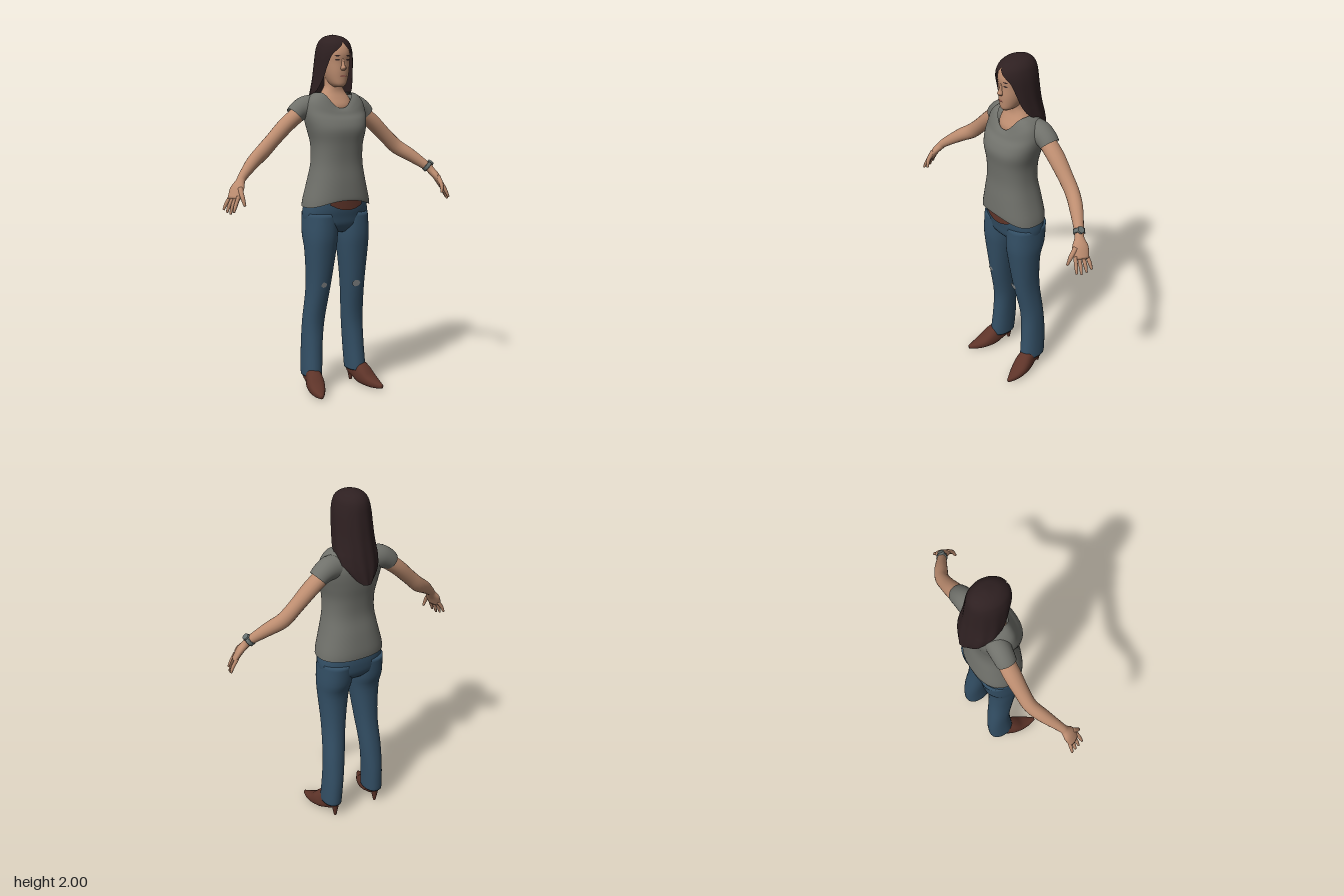
import * as THREE from 'three';

const mat = (name, color, side = THREE.FrontSide) => {
  const m = new THREE.MeshStandardMaterial({ color, side });
  m.name = name;
  return m;
};

// smooth interpolation of cross-section rows
function spline(secs, k = 4) {
  const out = [];
  for (let i = 0; i < secs.length - 1; i++) {
    const a = secs[Math.max(0, i - 1)], b = secs[i], c = secs[i + 1], d = secs[Math.min(secs.length - 1, i + 2)];
    for (let j = 0; j < k; j++) {
      const t = j / k;
      out.push(b.map((p, q) => {
        const m0 = (c[q] - a[q]) / 2, m1 = (d[q] - p) / 2;
        return (2 * t ** 3 - 3 * t * t + 1) * p + (t ** 3 - 2 * t * t + t) * m0
          + (3 * t * t - 2 * t ** 3) * c[q] + (t ** 3 - t * t) * m1;
      }));
    }
  }
  out.push(secs[secs.length - 1]);
  return out;
}

// surface from rows of points
function grid(name, rows, material, wrap = true) {
  const n = rows[0].length, index = [];
  for (let r = 0; r < rows.length - 1; r++) {
    for (let c = 0; c < (wrap ? n : n - 1); c++) {
      const a = r * n + c, b = r * n + (c + 1) % n, d = a + n, e = b + n;
      index.push(a, d, b, b, d, e);
    }
  }
  const g = new THREE.BufferGeometry().setFromPoints(rows.flat());
  g.setIndex(index);
  g.computeVertexNormals();
  const mesh = new THREE.Mesh(g, material);
  mesh.name = name;
  return mesh;
}

const pow = (v, e) => Math.sign(v) * Math.abs(v) ** e;

function capEnds(rows) {
  const mid = (r) => {
    const c = r.reduce((s, p) => s.add(p), new THREE.Vector3()).divideScalar(r.length);
    return r.map(() => c.clone());
  };
  return [mid(rows[0]), ...rows, mid(rows[rows.length - 1])];
}

// upright body: sections [y, centre x, half width, front z, back z, front lift]
function body(name, secs, material, { e = 0.9, n = 36, cap = true } = {}) {
  const rows = spline(secs).map(([y, cx, hw, zf, zb, lift = 0]) => Array.from({ length: n }, (_, i) => {
    const t = (i / n) * Math.PI * 2, s = Math.sin(t);
    return new THREE.Vector3(cx + hw * pow(Math.cos(t), e), y + lift * Math.max(0, s) ** 3,
      (zf + zb) / 2 + ((zf - zb) / 2) * pow(s, e));
  }));
  return grid(name, cap ? capEnds(rows) : rows, material);
}

// limb along a path: sections [x, y, z, horizontal radius, other radius]
function limb(name, secs, material, { e = 1, n = 18, cap = true } = {}) {
  const list = spline(secs), up = new THREE.Vector3(0, 1, 0);
  const at = (i) => new THREE.Vector3(...list[Math.min(list.length - 1, Math.max(0, i))].slice(0, 3));
  const rows = list.map(([, , , ru, rv], k) => {
    const T = at(k + 1).sub(at(k - 1)).normalize();
    const u = up.clone().cross(T).normalize(), v = u.clone().cross(T);
    return Array.from({ length: n }, (_, i) => {
      const t = (i / n) * Math.PI * 2;
      return at(k).addScaledVector(u, ru * pow(Math.cos(t), e)).addScaledVector(v, rv * pow(Math.sin(t), e));
    });
  });
  return grid(name, cap ? capEnds(rows) : rows, material);
}

export function createModel() {
  const model = new THREE.Group();
  model.name = 'woman';
  const skin = mat('skin', 0xbd8d70), shirt = mat('grey shirt', 0x70716b, THREE.DoubleSide);
  const denim = mat('blue denim', 0x334f65), leather = mat('brown leather', 0x5e3429, THREE.DoubleSide);
  const hairMat = mat('dark hair', 0x2e2021, THREE.DoubleSide), metal = mat('watch metal', 0x66706f);
  const worn = mat('worn denim', 0x85898a), lipMat = mat('lips', 0x9c6253), eyeMat = mat('eyes', 0x3a2b28);

  // shirt body, with raised front hem and scooped neckline
  model.add(body('shirt', [
    [1.055, 0, 0.197, 0.14, -0.14, 0.04], [1.1, 0, 0.19, 0.142, -0.14, 0.015], [1.2, 0, 0.165, 0.138, -0.127, 0],
    [1.3, 0, 0.146, 0.13, -0.11, 0], [1.4, 0, 0.146, 0.135, -0.115, 0], [1.48, 0, 0.165, 0.143, -0.128, 0],
    [1.54, 0, 0.178, 0.125, -0.135, -0.01], [1.59, 0, 0.18, 0.1, -0.135, -0.03], [1.64, 0, 0.165, 0.088, -0.125, -0.06],
    [1.675, 0, 0.13, 0.08, -0.115, -0.085], [1.685, 0, 0.095, 0.07, -0.1, -0.085],
  ], shirt, { e: 0.85, n: 48, cap: false }));

  // neck and upper chest
  model.add(body('neck', [
    [1.56, 0, 0.085, 0.06, -0.08], [1.61, 0, 0.095, 0.062, -0.09], [1.65, 0, 0.093, 0.042, -0.09],
    [1.685, 0, 0.07, 0.025, -0.085], [1.72, 0, 0.05, 0.022, -0.08], [1.78, 0, 0.048, 0.025, -0.08],
  ], skin));

  // head and nose
  model.add(body('head', [
    [1.715, 0, 0.022, 0.07, 0], [1.73, 0, 0.04, 0.08, -0.03], [1.76, 0, 0.055, 0.083, -0.06], [1.8, 0, 0.067, 0.085, -0.09],
    [1.85, 0, 0.075, 0.083, -0.11], [1.9, 0, 0.076, 0.085, -0.11], [1.95, 0, 0.064, 0.06, -0.1], [1.98, 0, 0.03, 0, -0.06],
  ], skin));
  model.add(body('nose', [
    [1.87, 0, 0.006, 0.086, 0.07], [1.835, 0, 0.009, 0.098, 0.07], [1.817, 0, 0.015, 0.106, 0.07], [1.804, 0, 0.01, 0.09, 0.07],
  ].reverse(), skin, { n: 12 }));

  // thin painted patches: eyes, brows, lips, worn knees
  const patch = (name, m, x, y, z, w, h, ry = 0, rx = 0, sides = 16) => {
    const p = new THREE.Mesh(new THREE.CircleGeometry(1, sides), m);
    p.name = name;
    p.position.set(x, y, z);
    p.rotation.set(rx, ry, 0);
    p.scale.set(w, h, 1);
    model.add(p);
  };
  for (const s of [-1, 1]) {
    patch('eye', eyeMat, s * 0.032, 1.862, 0.08, 0.013, 0.005, s * 0.3);
    patch('brow', hairMat, s * 0.033, 1.884, 0.081, 0.016, 0.0035, s * 0.3);
  }
  patch('mouth', lipMat, 0, 1.774, 0.0875, 0.02, 0.006);
  patch('wornKnee', worn, -0.115, 0.62, 0.078, 0.018, 0.016, 0, 0.17, 7);
  patch('wornKnee', worn, 0.092, 0.61, 0.076, 0.026, 0.02, -0.1, 0.17, 7);

  // long hair: sections [y, half width, front z, back z, half arc measured from the back]
  const PI = Math.PI;
  const hairRows = spline([
    [1.52, 0.04, -0.1, -0.197, 0.6], [1.55, 0.08, -0.04, -0.193, 0.85], [1.6, 0.11, 0, -0.186, 1.05],
    [1.66, 0.118, 0.03, -0.175, 1.6], [1.7, 0.116, 0.06, -0.168, 1.95], [1.76, 0.11, 0.08, -0.158, 2.15],
    [1.83, 0.105, 0.092, -0.15, 2.3], [1.89, 0.1, 0.097, -0.143, 2.5], [1.93, 0.092, 0.093, -0.137, 2.92],
    [1.96, 0.08, 0.077, -0.125, PI], [1.985, 0.055, 0.04, -0.1, PI], [1.997, 0.02, -0.01, -0.06, PI], [2, 0, -0.035, -0.035, PI],
  ]).map(([y, hw, zf, zb, arc]) => Array.from({ length: 49 }, (_, i) => {
    const t = (1 - i / 24) * Math.min(arc, PI), w = 1 + 0.018 * Math.sin(t * 11 + y * 6) * (2 - y) * 3;
    return new THREE.Vector3(-hw * w * Math.sin(t), y, (zf + zb) / 2 - ((zf - zb) / 2) * w * Math.cos(t));
  }));
  hairRows.forEach((r) => r.reverse());
  model.add(grid('hair', hairRows, hairMat, false));

  // hips
  model.add(body('hips', [
    [0.91, 0, 0.13, 0.065, -0.085], [0.95, 0, 0.18, 0.1, -0.12], [1, 0, 0.193, 0.11, -0.13],
    [1.05, 0, 0.19, 0.118, -0.13], [1.12, 0, 0.175, 0.118, -0.12],
  ], denim, { n: 40 }));

  // leather panel under the raised hem
  const panel = [0, 0.5, 1].map((v) => Array.from({ length: 17 }, (_, i) => {
    const x = 0.105 - 0.2 * (i / 16), q = Math.min(1, Math.abs(x - 0.01) / 0.1);
    return new THREE.Vector3(x, THREE.MathUtils.lerp(1.04 + 0.03 * q * q, 1.12, v), 0.127 - 1.4 * x * x);
  }));
  model.add(grid('waistPanel', panel, leather, false));

  for (const s of [-1, 1]) {
    const side = s > 0 ? 'left' : 'right';
    const mirror = (secs) => secs.map(([x, ...rest]) => [s * x, ...rest]);

    // trouser leg: [y, outer x, inner x, front z, back z]
    model.add(body(side + 'TrouserLeg', [
      [0.085, 0.195, 0.09, 0.05, -0.105], [0.12, 0.195, 0.088, 0.049, -0.11], [0.25, 0.19, 0.08, 0.037, -0.115],
      [0.4, 0.185, 0.066, 0.034, -0.105], [0.6, 0.175, 0.045, 0.072, -0.085], [0.8, 0.187, 0.018, 0.1, -0.085],
      [0.9, 0.194, 0.006, 0.11, -0.115], [1.02, 0.19, 0.005, 0.105, -0.128],
    ].map(([y, o, i, f, b]) => [y, s * (o + i) / 2, (o - i) / 2, f, b]), denim));

    // shoe: [z, centre x, bottom y, top y, half width]
    model.add(limb(side + 'Shoe', [
      [-0.092, 0.138, 0.06, 0.11, 0.022], [-0.06, 0.141, 0.047, 0.14, 0.042], [0, 0.15, 0.022, 0.14, 0.042],
      [0.05, 0.16, 0.003, 0.11, 0.05], [0.1, 0.172, 0, 0.07, 0.046], [0.15, 0.184, 0, 0.046, 0.031], [0.198, 0.194, 0.008, 0.03, 0.009],
    ].map(([z, x, a, b, w]) => [s * x, (a + b) / 2, z, w, (b - a) / 2]), leather, { e: 0.8, n: 20 }));
    const heel = new THREE.Mesh(new THREE.CylinderGeometry(0.023, 0.008, 0.075, 12), leather);
    heel.name = side + 'Heel';
    heel.position.set(s * 0.14, 0.0375, -0.073);
    model.add(heel);

    // sleeve, arm and palm
    model.add(limb(side + 'Sleeve', mirror([
      [0.1, 1.6, -0.055, 0.06, 0.07], [0.155, 1.602, -0.057, 0.062, 0.066], [0.2, 1.582, -0.06, 0.058, 0.058],
      [0.225, 1.56, -0.06, 0.055, 0.052],
    ]), shirt, { n: 24, cap: false }));
    model.add(limb(side + 'Arm', mirror([
      [0.17, 1.59, -0.06, 0.045, 0.045], [0.27, 1.515, -0.06, 0.048, 0.044], [0.36, 1.43, -0.055, 0.041, 0.041],
      [0.43, 1.365, -0.045, 0.038, 0.042], [0.5, 1.318, -0.01, 0.036, 0.037], [0.585, 1.25, 0.045, 0.025, 0.025],
      [0.606, 1.225, 0.06, 0.026, 0.022], [0.632, 1.19, 0.076, 0.043, 0.021], [0.658, 1.138, 0.09, 0.04, 0.016],
    ]), skin));

    // fingers and thumb
    for (let f = 0; f < 4; f++) {
      const o = f - 1.5, l = 1 - 0.12 * Math.abs(o - 0.3);
      model.add(limb(side + 'Finger', mirror([
        [0.65 - o * 0.006, 1.155, 0.088 + o * 0.02, 0.01, 0.011],
        [0.676 - o * 0.008, 1.155 - 0.055 * l, 0.093 + o * 0.024, 0.01, 0.01],
        [0.69 - o * 0.008, 1.155 - 0.095 * l, 0.096 + o * 0.027, 0.006, 0.006],
      ]), skin, { n: 8 }));
    }
    model.add(limb(side + 'Thumb', mirror([
      [0.625, 1.195, 0.1, 0.014, 0.014], [0.627, 1.15, 0.135, 0.012, 0.012], [0.62, 1.105, 0.15, 0.007, 0.007],
    ]), skin, { n: 8 }));
  }

  // wristwatch on the left arm
  model.add(limb('watchBand', [[0.578, 1.257, 0.04, 0.031, 0.031], [0.593, 1.242, 0.05, 0.031, 0.031]], metal));
  const dial = new THREE.Mesh(new THREE.CylinderGeometry(0.018, 0.02, 0.012, 16), metal);
  dial.name = 'watchDial';
  dial.position.set(0.605, 1.272, 0.052);
  dial.rotation.z = -0.75;
  model.add(dial);

  return model;
}
